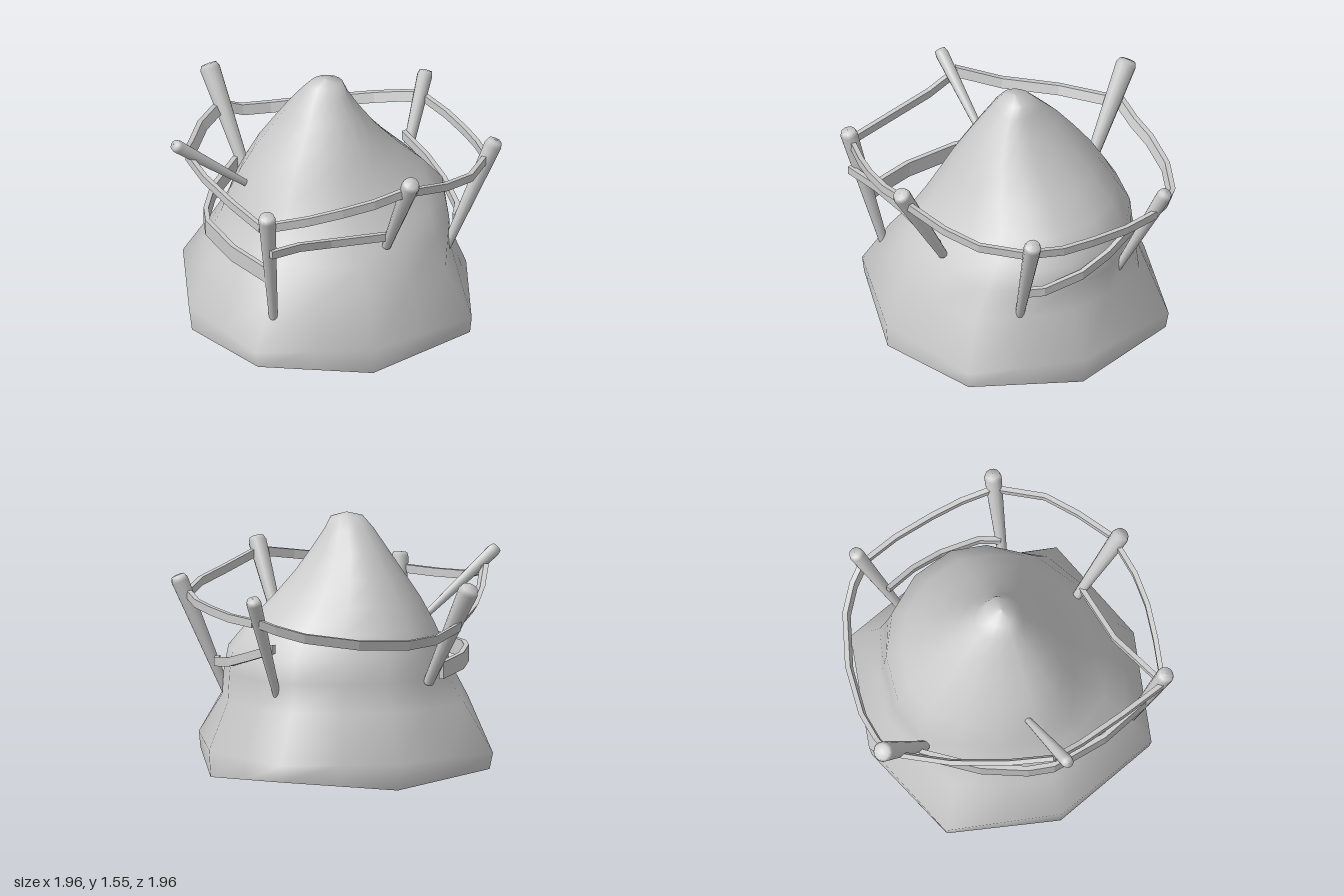
import * as THREE from 'three';

const material = new THREE.MeshStandardMaterial({ color: 0xcccccc, side: THREE.DoubleSide, roughness: 0.8 });

// Cross-sections of the cone: y, -x reach, +x reach, +z reach, -z reach, squareness (1 = octagon)
const RINGS = [
  [0.0, 0.85, 0.87, 0.86, 0.85, 1],
  [0.16, 0.87, 0.88, 0.87, 0.87, 1],
  [0.45, 0.74, 0.76, 0.76, 0.74, 0.4],
  [0.62, 0.63, 0.75, 0.66, 0.7, 0.1],
  [0.76, 0.57, 0.73, 0.55, 0.68, 0],
  [0.9, 0.51, 0.61, 0.45, 0.6, 0],
  [1.05, 0.43, 0.45, 0.37, 0.51, 0],
  [1.2, 0.33, 0.31, 0.29, 0.4, 0],
  [1.35, 0.23, 0.2, 0.2, 0.28, 0],
  [1.46, 0.16, 0.13, 0.12, 0.17, 0],
  [1.53, 0.1, 0.1, 0.07, 0.1, 0],
  [1.555, 0.0, 0.0, 0.0, 0.0, 0],
];

function makeCone() {
  const sides = 16, positions = [], indices = [];
  const corner = (k, square) => {
    const a = (k / 8) * Math.PI * 2;
    const stretch = k % 2 ? 1 + 0.1 * square : 1;
    return [Math.sin(a) * stretch, Math.cos(a) * stretch];
  };
  RINGS.forEach(([y, xl, xr, zf, zb, square], r) => {
    for (let s = 0; s < sides; s++) {
      const k = Math.floor(s / 2);
      const a = (s / sides) * Math.PI * 2;
      let [u, v] = corner(k, square);
      let lift = k % 2 ? 0.06 : 0;
      if (s % 2) {
        // half-way points slide from a straight octagon side to a round arc
        const [u2, v2] = corner((k + 1) % 8, square);
        u = THREE.MathUtils.lerp(Math.sin(a), (u + u2) / 2, square);
        v = THREE.MathUtils.lerp(Math.cos(a), (v + v2) / 2, square);
        lift = 0.03;
      }
      positions.push(u * (u > 0 ? xr : xl), y + (r === 0 ? lift : 0), 0.05 + v * (v > 0 ? zf : zb));
    }
  });
  for (let r = 0; r < RINGS.length - 1; r++) {
    for (let s = 0; s < sides; s++) {
      const a = r * sides + s, b = r * sides + ((s + 1) % sides);
      indices.push(a, b, b + sides);
      if (r < RINGS.length - 2) indices.push(a, b + sides, a + sides);
    }
  }
  const geometry = new THREE.BufferGeometry();
  geometry.setAttribute('position', new THREE.Float32BufferAttribute(positions, 3));
  geometry.setIndex(indices);
  geometry.computeVertexNormals();
  return geometry;
}

// Tapered post, thin at the foot with a bevelled top
function makePost(foot, head, rTop) {
  const from = new THREE.Vector3(...foot), to = new THREE.Vector3(...head);
  const length = from.distanceTo(to), rFoot = rTop * 0.5;
  const profile = [[0, 0], [rFoot, 0], [rTop, length - 0.015], [rTop * 0.8, length + 0.015], [0, length + 0.02]];
  const geometry = new THREE.LatheGeometry(profile.map((p) => new THREE.Vector2(...p)), 12);
  const mesh = new THREE.Mesh(geometry, material);
  mesh.position.copy(from);
  mesh.quaternion.setFromUnitVectors(new THREE.Vector3(0, 1, 0), to.sub(from).normalize());
  return mesh;
}

// Flat strap: an upright rectangle swept along a list of points
function makeStrap(path, height, lean = 0, thickness = 0.03) {
  const points = path.map((p) => new THREE.Vector3(...p));
  const positions = [], indices = [];
  points.forEach((p, i) => {
    const t = points[Math.min(i + 1, points.length - 1)].clone().sub(points[Math.max(i - 1, 0)]);
    const side = new THREE.Vector3(t.z, 0, -t.x).normalize();
    for (const [u, v] of [[1, -1], [1, 1], [-1, 1], [-1, -1]]) {
      const q = p.clone().addScaledVector(side, (u * thickness) / 2 + v * lean);
      positions.push(q.x, q.y + (v * height) / 2, q.z);
    }
  });
  for (let i = 0; i < points.length - 1; i++) {
    for (let k = 0; k < 4; k++) {
      const a = i * 4 + k, b = i * 4 + ((k + 1) % 4);
      indices.push(a, b, b + 4, a, b + 4, a + 4);
    }
  }
  const e = (points.length - 1) * 4;
  indices.push(0, 2, 1, 0, 3, 2, e, e + 1, e + 2, e, e + 2, e + 3);
  const indexed = new THREE.BufferGeometry();
  indexed.setAttribute('position', new THREE.Float32BufferAttribute(positions, 3));
  indexed.setIndex(indices);
  const geometry = indexed.toNonIndexed();
  geometry.computeVertexNormals();
  return new THREE.Mesh(geometry, material);
}

export function createModel() {
  const model = new THREE.Group();
  const add = (name, mesh) => {
    mesh.name = name;
    model.add(mesh);
  };

  add('coneBody', new THREE.Mesh(makeCone(), material));

  // Six posts leaning outward: name, foot, head, head radius
  const posts = [
    ['backRightPost', [-0.28, 0.6, -0.58], [-0.41, 1.21, -0.92], 0.062],
    ['backLeftPost', [0.59, 0.53, -0.33], [0.82, 1.15, -0.53], 0.046],
    ['leftPost', [0.65, 0.46, 0.36], [0.93, 1.15, 0.42], 0.053],
    ['frontPost', [0.18, 0.69, 0.63], [0.23, 1.26, 0.94], 0.055],
    ['frontRightPost', [-0.54, 0.33, 0.65], [-0.645, 1.13, 0.835], 0.053],
    ['rightPost', [-0.48, 0.9, 0.0], [-0.95, 1.27, 0.05], 0.04],
  ];
  for (const [name, foot, head, r] of posts) add(name, makePost(foot, head, r));

  // Upper straps run post to post around the cone
  add('upperStrapFront', makeStrap(
    [[0.25, 1.2, 0.9], [0, 1.16, 0.93], [-0.2, 1.13, 0.92], [-0.4, 1.09, 0.88], [-0.66, 1.05, 0.81]], 0.055));
  add('upperStrapFrontLeft', makeStrap(
    [[0.89, 1.05, 0.4], [0.7, 1.08, 0.66], [0.5, 1.12, 0.79], [0.25, 1.19, 0.91]], 0.05));
  add('upperStrapLeft', makeStrap(
    [[0.8, 1.01, -0.48], [0.86, 1.01, -0.25], [0.89, 1.02, 0], [0.9, 1.03, 0.2], [0.88, 1.06, 0.4]], 0.05));
  add('upperStrapBack', makeStrap(
    [[-0.38, 0.98, -0.85], [-0.22, 0.91, -0.87], [-0.04, 0.89, -0.88], [0.26, 0.9, -0.83],
      [0.56, 0.94, -0.71], [0.7, 0.98, -0.6], [0.8, 1.02, -0.48]], 0.06, 0.01));
  add('upperStrapBackRight', makeStrap(
    [[-0.86, 1.17, 0], [-0.74, 1.08, -0.25], [-0.58, 1.03, -0.55], [-0.38, 0.98, -0.82]], 0.05, 0.015));
  add('upperStrapRight', makeStrap(
    [[-0.67, 1.05, 0.8], [-0.75, 1.07, 0.5], [-0.82, 1.1, 0.2], [-0.86, 1.16, 0]], 0.05));

  // Lower straps link some of the posts nearer their feet
  add('lowerStrapFront', makeStrap(
    [[0.18, 0.77, 0.66], [-0.2, 0.81, 0.7], [-0.42, 0.86, 0.77], [-0.62, 0.88, 0.84]], 0.05));
  add('lowerStrapLeft', makeStrap(
    [[0.7, 0.65, 0.37], [0.755, 0.66, 0.25], [0.76, 0.7, 0], [0.72, 0.76, -0.2], [0.64, 0.83, -0.4]], 0.055));
  add('lowerStrapRight', makeStrap(
    [[-0.6, 0.68, 0.73], [-0.71, 0.68, 0.4], [-0.75, 0.68, 0.05], [-0.71, 0.68, -0.1],
      [-0.58, 0.68, -0.35], [-0.34, 0.68, -0.64]], 0.1));

  return model;
}
